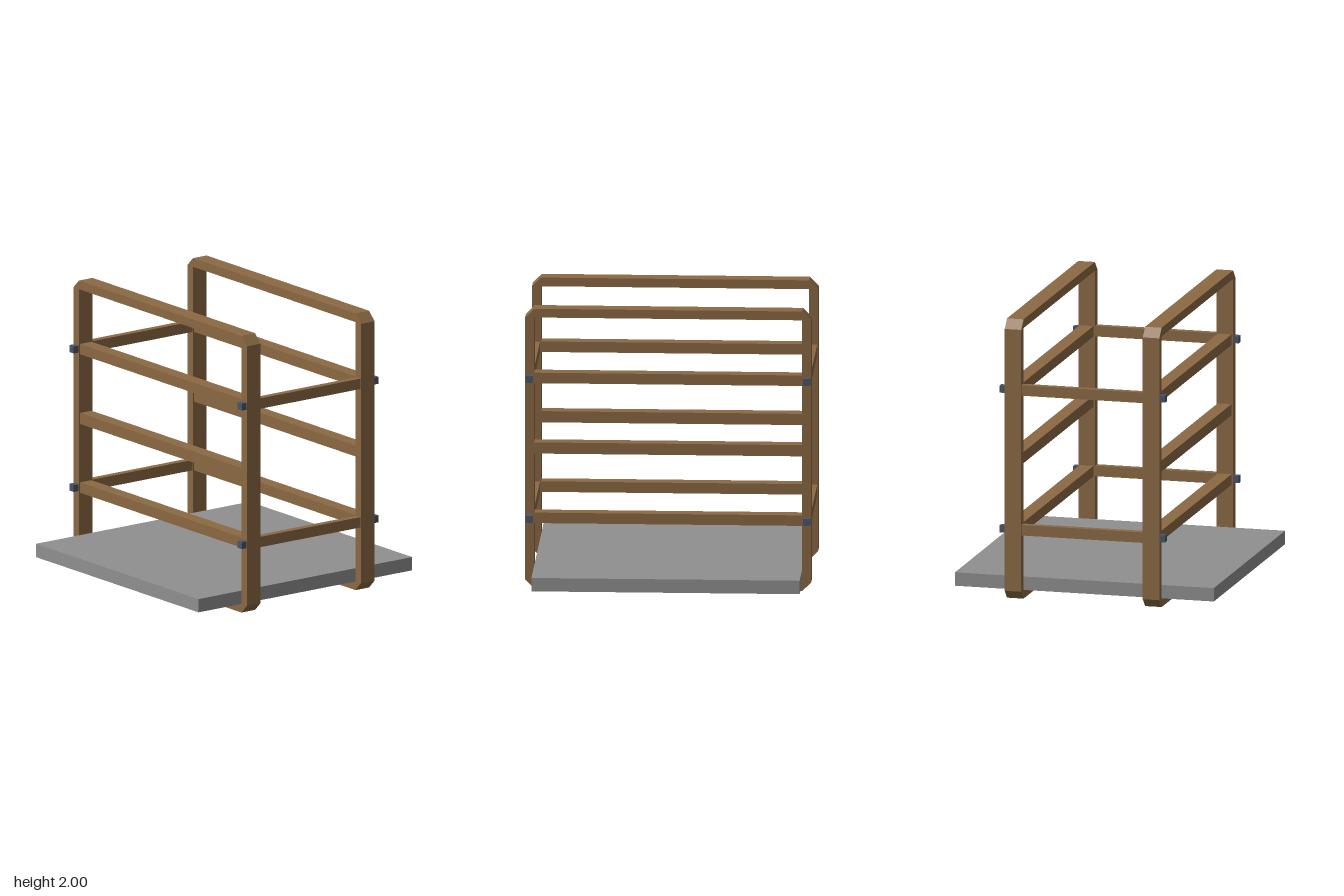
import * as THREE from 'three';

const wood = new THREE.MeshStandardMaterial({ name: 'wood', color: 0x8b6943 });
const grey = new THREE.MeshStandardMaterial({ name: 'platform grey', color: 0x909090 });
const steel = new THREE.MeshStandardMaterial({ name: 'bolt steel', color: 0x4a5568 });

const BEAM = 0.0625;   // frame thickness seen from the front
const DEPTH = 0.12;    // frame depth along z
const FRAME_Z = 0.5;
const INNER = 1 - BEAM;

function addBox(parent, name, material, size, position) {
  const mesh = new THREE.Mesh(new THREE.BoxGeometry(...size), material);
  mesh.name = name;
  mesh.position.set(...position);
  parent.add(mesh);
}

// Rectangular frame with chamfered outer corners and a square opening
function frameGeometry() {
  const shape = new THREE.Shape([
    [-INNER, 0], [INNER, 0], [1, BEAM], [1, 2 - BEAM],
    [INNER, 2], [-INNER, 2], [-1, 2 - BEAM], [-1, BEAM],
  ].map(([x, y]) => new THREE.Vector2(x, y)));
  shape.holes.push(new THREE.Path([
    [-INNER, BEAM], [-INNER, 2 - BEAM], [INNER, 2 - BEAM], [INNER, BEAM],
  ].map(([x, y]) => new THREE.Vector2(x, y))));
  const geometry = new THREE.ExtrudeGeometry(shape, { depth: DEPTH, bevelEnabled: false });
  return geometry.translate(0, 0, -DEPTH / 2);
}

export function createModel() {
  const group = new THREE.Group();
  group.name = 'rack';

  // Front and back frames with their crossbars
  const geometry = frameGeometry();
  for (const side of [1, -1]) {
    const label = side > 0 ? 'front' : 'back';
    const frame = new THREE.Mesh(geometry, wood);
    frame.name = label + 'Frame';
    frame.position.z = side * FRAME_Z;
    group.add(frame);
    for (const [y, height] of [[0.502, 0.075], [1.002, 0.08], [1.503, 0.075]]) {
      addBox(group, label + 'Crossbar', wood, [2 * INNER, height, 0.1], [0, y, side * FRAME_Z]);
    }
  }

  // Side rails joining the frames, with square bolts at their ends
  for (const x of [-0.969, 0.969]) {
    const label = x > 0 ? 'left' : 'right';
    for (const y of [0.502, 1.503]) {
      addBox(group, label + 'Rail', wood, [0.05, 0.075, 2 * FRAME_Z - DEPTH], [x, y, 0]);
      for (const side of [1, -1]) {
        addBox(group, label + 'Bolt', steel, [0.05, 0.05, 0.045],
          [x, y, side * (FRAME_Z + DEPTH / 2 + 0.0175)]);
      }
    }
  }

  // Platform resting on the lower beams
  addBox(group, 'platform', grey, [2 * INNER, 0.096, 2 * INNER], [0, BEAM + 0.048, 0]);

  return group;
}
